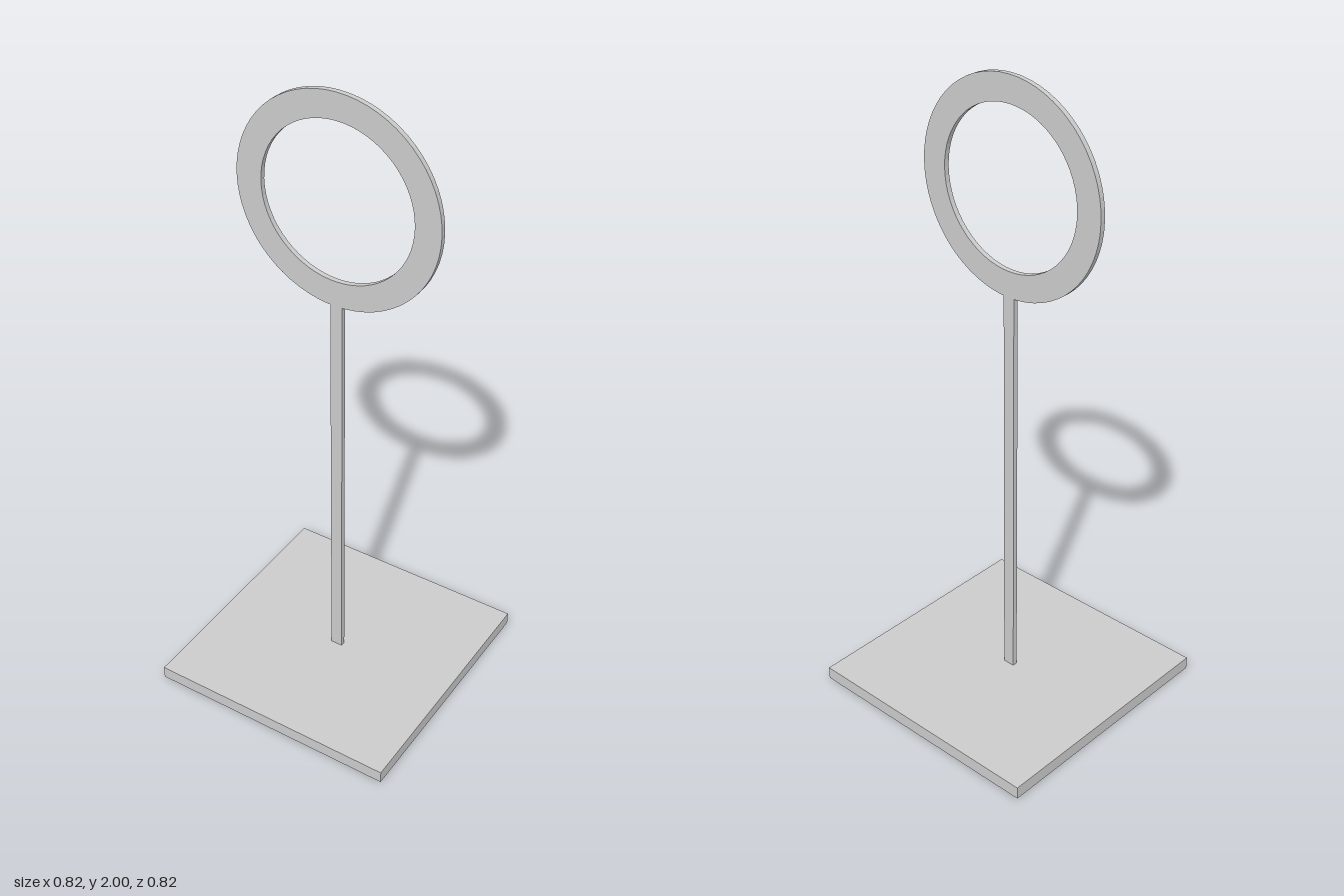
import * as THREE from 'three';

export function createModel() {
  const model = new THREE.Group();
  const material = new THREE.MeshStandardMaterial({ color: 0xcccccc });
  const u = 2 / 49; // thickness of the base plate
  const depth = 0.4 * u; // thickness of post and ring

  const add = (name, geometry, x, y, z) => {
    const mesh = new THREE.Mesh(geometry, material);
    mesh.name = name;
    mesh.position.set(x, y, z);
    model.add(mesh);
  };

  // Square base plate
  add('base', new THREE.BoxGeometry(20 * u, u, 20 * u), 0, u / 2, 0);

  // Flat post, its back face on the centre plane, running just into the ring
  const postHeight = 32.1 * u;
  add('post', new THREE.BoxGeometry(0.95 * u, postHeight, depth), 0, u + postHeight / 2, depth / 2);

  // Flat ring on top of the post
  const outline = new THREE.Shape().absarc(0, 0, 8 * u, 0, Math.PI * 2);
  outline.holes.push(new THREE.Path().absarc(0, 0, 6 * u, 0, Math.PI * 2, true));
  const ring = new THREE.ExtrudeGeometry(outline, { depth, bevelEnabled: false, curveSegments: 32 });
  add('ring', ring, 0, 41 * u, 0);

  return model;
}
